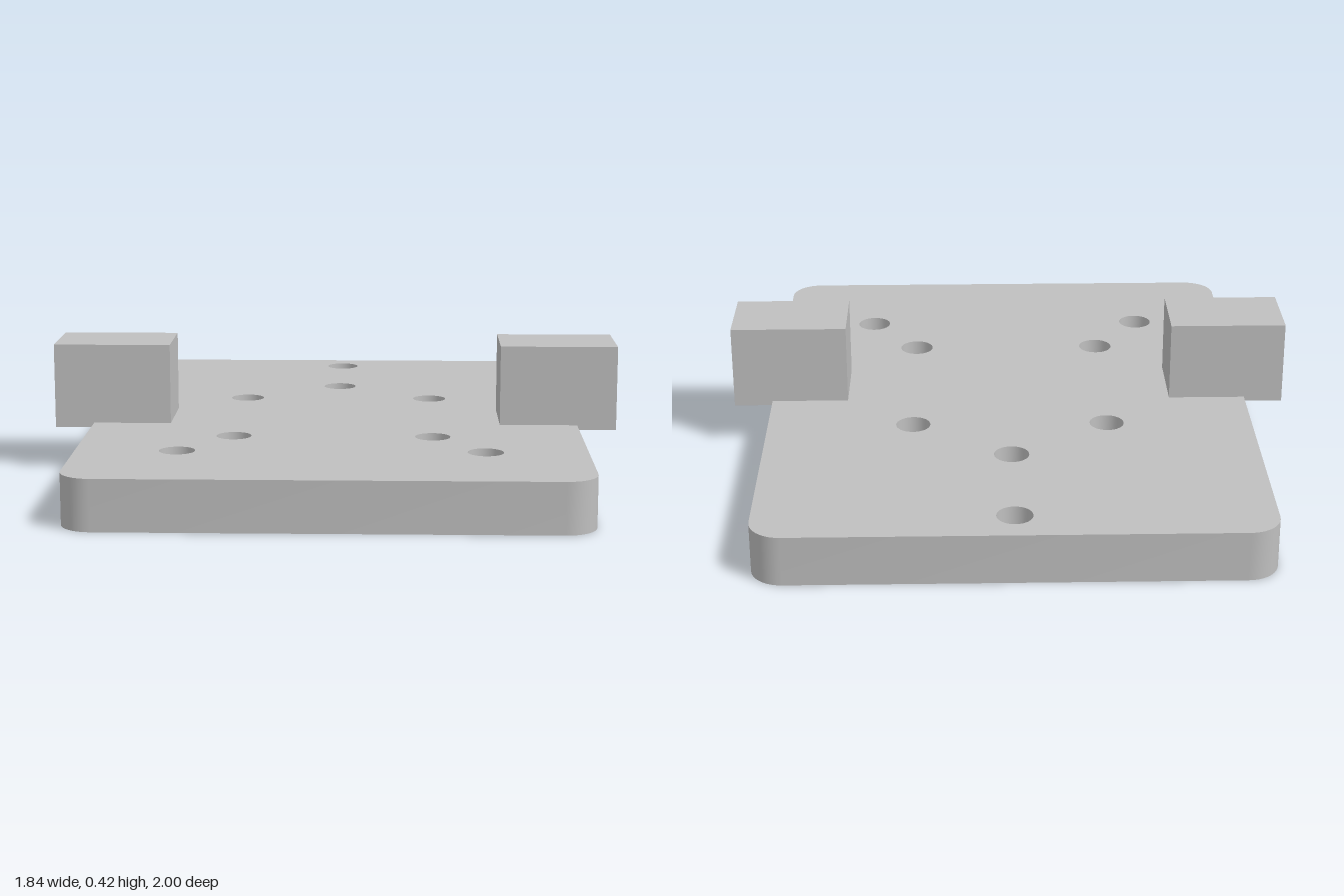
import * as THREE from 'three';
import { mergeGeometries, toCreasedNormals } from 'three/addons/utils/BufferGeometryUtils.js';

const HEIGHT = 0.16, POCKET = 0.08;

// Regular loop of points; plan y is -z
function ring(x, z, r, n, start = 0) {
  return Array.from({ length: n }, (_, i) => {
    const a = start + (i / n) * Math.PI * 2;
    return new THREE.Vector2(x + r * Math.cos(a), -z + r * Math.sin(a));
  });
}

function roundedRect(w, d, r, steps) {
  const pts = [];
  [[1, 1], [-1, 1], [-1, -1], [1, -1]].forEach(([sx, sy], k) => {
    for (let j = 0; j <= steps; j++) {
      const a = (k + j / steps) * Math.PI / 2;
      pts.push(new THREE.Vector2(sx * (w - r) + r * Math.cos(a), sy * (d - r) + r * Math.sin(a)));
    }
  });
  return pts;
}

// Flat face at height y, facing up or down
function face(outline, holes, y, down) {
  const shape = new THREE.Shape(outline);
  shape.holes = holes.map((h) => new THREE.Path(h));
  const g = new THREE.ShapeGeometry(shape).rotateX(-Math.PI / 2).translate(0, y, 0);
  if (down) g.index.array.reverse();
  const flat = g.toNonIndexed();
  flat.deleteAttribute('uv');
  flat.computeVertexNormals();
  return flat;
}

// Upright wall along a loop; inward walls line holes
function wall(loop, y0, y1, inward) {
  const pts = inward ? [...loop].reverse() : loop;
  const pos = [];
  pts.forEach((p, i) => {
    const q = pts[(i + 1) % pts.length];
    pos.push(p.x, y0, -p.y, q.x, y0, -q.y, q.x, y1, -q.y);
    pos.push(p.x, y0, -p.y, q.x, y1, -q.y, p.x, y1, -p.y);
  });
  const g = new THREE.BufferGeometry();
  g.setAttribute('position', new THREE.Float32BufferAttribute(pos, 3));
  g.computeVertexNormals();
  return g;
}

export function createModel() {
  const group = new THREE.Group();
  const grey = new THREE.MeshStandardMaterial({ color: 0xbfbfbf });
  grey.name = 'grey';

  // Base plate with plain holes, and two holes with hexagonal nut pockets underneath
  const outline = roundedRect(0.793, 1, 0.1, 10);
  const hole = ([x, z]) => ring(x, z, 0.056, 32);
  const plain = [[0, -0.875], [0, -0.465], [-0.317, -0.24], [0.317, -0.24], [-0.317, 0.393], [0.317, 0.393]].map(hole);
  const nutSpots = [[-0.476, 0.615], [0.476, 0.615]];
  const bolts = nutSpots.map(hole);
  const pockets = nutSpots.map(([x, z]) => ring(x, z, 0.105, 6, Math.PI / 6));
  const parts = [
    face(outline, [...plain, ...bolts], HEIGHT, false),
    face(outline, [...plain, ...pockets], 0, true),
    wall(outline, 0, HEIGHT, false),
    ...plain.map((h) => wall(h, 0, HEIGHT, true)),
    ...bolts.map((h) => wall(h, POCKET, HEIGHT, true)),
    ...pockets.map((h) => wall(h, 0, POCKET, true)),
    ...pockets.map((h, i) => face(h, [bolts[i]], POCKET, true)),
  ];
  const plate = new THREE.Mesh(toCreasedNormals(mergeGeometries(parts), Math.PI / 6), grey);
  plate.name = 'basePlate';
  group.add(plate);

  // Side blocks overhanging the plate edges
  for (const s of [-1, 1]) {
    const block = new THREE.Mesh(new THREE.BoxGeometry(0.38, 0.275, 0.25), grey);
    block.position.set(s * 0.73, 0.2825, 0.077);
    block.name = s > 0 ? 'leftBlock' : 'rightBlock';
    group.add(block);
  }
  return group;
}
